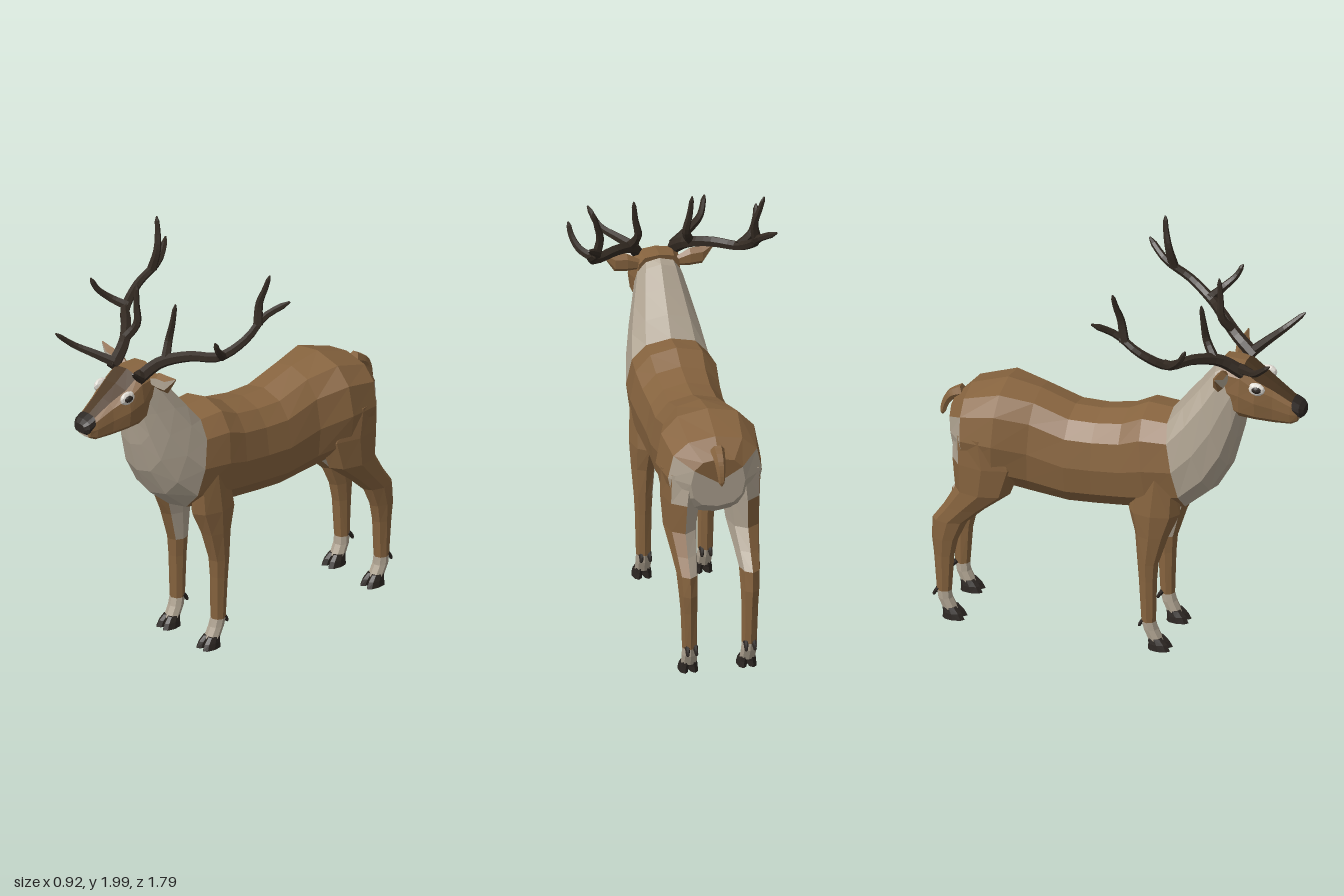
import * as THREE from 'three';

const mat = (name, color) => {
  const m = new THREE.MeshStandardMaterial({ color, flatShading: true });
  m.name = name;
  return m;
};
const brown = mat('brown coat', 0x87643f);
const cream = mat('pale fur', 0xb0a492);
const dark = mat('dark face', 0x4b3722);
const horn = mat('antler', 0x332a22);
const black = mat('hoof and nose', 0x2c2622);
const white = mat('eye ring', 0xdedad2);
const V = (x, y, z) => new THREE.Vector3(x, y, z);

// Closed skin over a list of rings; pick(i, k) gives the material of side k in band i.
function loft(name, rings, pick) {
  const n = rings[0].length, last = rings.length - 1, buckets = new Map();
  let volume = 0;
  const tri = (m, a, b, c) => {
    if (!buckets.has(m)) buckets.set(m, []);
    buckets.get(m).push([a, b, c]);
    volume += a.dot(b.clone().cross(c));
  };
  for (let k = 0; k < n; k++) {
    const j = (k + 1) % n;
    for (let i = 0; i < last; i++) {
      const m = pick(i, k);
      tri(m, rings[i][k], rings[i][j], rings[i + 1][j]);
      tri(m, rings[i][k], rings[i + 1][j], rings[i + 1][k]);
    }
  }
  const middle = (r) => r.reduce((s, p) => s.add(p), V(0, 0, 0)).divideScalar(n);
  const c0 = middle(rings[0]), c1 = middle(rings[last]);
  for (let k = 0; k < n; k++) {
    const j = (k + 1) % n;
    tri(pick(0, k), c0, rings[0][j], rings[0][k]);
    tri(pick(last - 1, k), c1, rings[last][k], rings[last][j]);
  }
  const geo = new THREE.BufferGeometry(), pos = [], mats = [];
  for (const [m, tris] of buckets) {
    geo.addGroup(pos.length / 3, tris.length * 3, mats.length);
    mats.push(m);
    for (const [a, b, c] of tris) {
      for (const p of volume > 0 ? [a, b, c] : [a, c, b]) pos.push(p.x, p.y, p.z);
    }
  }
  geo.setAttribute('position', new THREE.Float32BufferAttribute(pos, 3));
  geo.computeVertexNormals();
  const mesh = new THREE.Mesh(geo, mats.length > 1 ? mats : mats[0]);
  mesh.name = name;
  return mesh;
}

// Slanted 12-sided ring between a top and a bottom point; a low power is boxier.
const spineRing = (power) => ([tz, ty, bz, by, w]) => Array.from({ length: 12 }, (_, k) => {
  const a = k * Math.PI / 6;
  const f = (v) => (Math.abs(v) < 1e-6 ? 0 : Math.sign(v) * Math.abs(v) ** power);
  const c = f(Math.cos(a)) / 2;
  return V(w * f(Math.sin(a)), (ty + by) / 2 + (ty - by) * c, (tz + bz) / 2 + (tz - bz) * c);
});

// Level 8-sided ring of a leg on side s.
const legRing = (s) => ([y, z, x, rz, rx]) => Array.from({ length: 8 }, (_, k) => {
  const a = k * Math.PI / 4;
  return V(s * (x + rx * Math.cos(a)), y, z + rz * Math.sin(a));
});

// Tapering six-sided branch through points, pointed at the end.
function branch(name, pts, r0, r1, material, s = 1) {
  const curve = new THREE.CatmullRomCurve3(pts.map(([x, y, z]) => V(s * x, y, z)));
  const n = pts.length * 3, frames = curve.computeFrenetFrames(n, false);
  const rings = [];
  for (let i = 0; i <= n; i++) {
    const r = i === n ? r1 * 0.35 : r0 + (r1 - r0) * (i / n);
    rings.push(Array.from({ length: 6 }, (_, k) => curve.getPointAt(i / n)
      .addScaledVector(frames.normals[i], r * Math.cos(k * Math.PI / 3))
      .addScaledVector(frames.binormals[i], r * Math.sin(k * Math.PI / 3))));
  }
  return loft(name, rings, () => material);
}

function ball(name, material, pos, scale) {
  const m = new THREE.Mesh(new THREE.IcosahedronGeometry(1, 1), material);
  m.name = name;
  m.position.set(...pos);
  m.scale.set(...scale);
  return m;
}

function leg(name, s, rows, pick) {
  const g = new THREE.Group();
  g.name = name;
  g.add(loft(name + 'Limb', rows.map(legRing(s)), pick));
  const [y, z, x] = rows[rows.length - 1];
  // Split hoof and dewclaws
  for (const t of [-1, 1]) {
    g.add(loft('hoofToe', [
      [y + 0.012, z, x + t * 0.016, 0.036, 0.02],
      [0.03, z + 0.015, x + t * 0.021, 0.046, 0.023],
      [0, z + 0.022, x + t * 0.024, 0.054, 0.024],
    ].map(legRing(s)), () => black));
    g.add(branch('dewclaw', [[x + t * 0.018, 0.15, z - 0.05], [x + t * 0.02, 0.13, z - 0.068],
      [x + t * 0.022, 0.11, z - 0.078]], 0.014, 0.007, black, s));
  }
  return g;
}

export function createModel() {
  const model = new THREE.Group();
  model.name = 'stag';

  // Torso and neck: top z, top y, bottom z, bottom y, half width
  const body = [
    [-0.82, 1.10, -0.79, 0.84, 0.13], [-0.74, 1.18, -0.72, 0.78, 0.225],
    [-0.56, 1.24, -0.58, 0.73, 0.25], [-0.40, 1.21, -0.42, 0.69, 0.20],
    [-0.23, 1.15, -0.23, 0.67, 0.20], [-0.10, 1.15, -0.10, 0.675, 0.195],
    [0.03, 1.17, 0.06, 0.69, 0.205], [0.13, 1.22, 0.18, 0.70, 0.217],
    [0.25, 1.21, 0.35, 0.73, 0.205], [0.32, 1.30, 0.47, 0.83, 0.185],
    [0.40, 1.40, 0.55, 0.97, 0.155], [0.47, 1.49, 0.59, 1.12, 0.125],
    [0.53, 1.52, 0.61, 1.25, 0.105],
  ];
  model.add(loft('bodyAndNeck', body.map(spineRing(0.8)), (i, k) => {
    if (i >= 8 || (i === 0 && k > 1 && k < 10)) return cream;
    return k === 5 || k === 6 ? cream : brown;
  }));

  // Head with dark forehead and pale chin
  const head = [
    [0.50, 1.525, 0.56, 1.26, 0.105], [0.61, 1.52, 0.60, 1.25, 0.12],
    [0.68, 1.465, 0.68, 1.245, 0.115], [0.76, 1.415, 0.76, 1.235, 0.085],
    [0.84, 1.36, 0.84, 1.235, 0.066], [0.88, 1.335, 0.87, 1.25, 0.052],
  ];
  model.add(loft('head', head.map(spineRing(0.6)), (i, k) => {
    if (i > 0 && (k === 0 || k === 11)) return dark;
    return i > 1 && (k === 5 || k === 6) ? cream : brown;
  }));
  model.add(loft('nose', [
    [0.845, 1.362, 0.855, 1.285, 0.06], [0.88, 1.345, 0.885, 1.27, 0.056], [0.9, 1.325, 0.9, 1.28, 0.036],
  ].map(spineRing(0.7)), () => black));

  // Tail
  const tail = branch('tail', [[0, 1.13, -0.78], [0, 1.1, -0.84], [0, 1.05, -0.87], [0, 0.99, -0.885]],
    0.035, 0.012, brown);
  model.add(tail);

  // Legs: y, z, x, half depth, half width
  const front = [
    [0.92, 0.22, 0.13, 0.11, 0.075], [0.72, 0.20, 0.14, 0.125, 0.072], [0.60, 0.19, 0.147, 0.082, 0.058],
    [0.45, 0.172, 0.15, 0.052, 0.045], [0.36, 0.172, 0.15, 0.045, 0.04], [0.14, 0.175, 0.148, 0.036, 0.036],
    [0.10, 0.185, 0.146, 0.036, 0.038], [0.045, 0.21, 0.145, 0.036, 0.038],
  ];
  const hind = [
    [1.0, -0.64, 0.13, 0.15, 0.11], [0.85, -0.62, 0.145, 0.17, 0.095], [0.70, -0.64, 0.15, 0.135, 0.08],
    [0.60, -0.73, 0.15, 0.10, 0.062], [0.52, -0.80, 0.15, 0.085, 0.05], [0.42, -0.825, 0.148, 0.065, 0.045],
    [0.33, -0.83, 0.146, 0.05, 0.04], [0.14, -0.83, 0.143, 0.037, 0.036],
    [0.10, -0.825, 0.142, 0.036, 0.038], [0.045, -0.80, 0.14, 0.036, 0.038],
  ];

  // Antler branches: points, start radius, end radius
  const antler = [
    ['mainBeam', [[0.09, 1.5, 0.62], [0.13, 1.57, 0.52], [0.23, 1.61, 0.42], [0.34, 1.62, 0.33],
      [0.39, 1.69, 0.21], [0.385, 1.77, 0.09], [0.45, 1.84, -0.01]], 0.032, 0.015],
    ['crownTine', [[0.385, 1.74, 0.13], [0.37, 1.84, 0.11], [0.39, 1.92, 0.09], [0.41, 1.99, 0.08]], 0.024, 0.01],
    ['outerTine', [[0.34, 1.625, 0.32], [0.41, 1.66, 0.37], [0.44, 1.71, 0.42], [0.45, 1.77, 0.45]], 0.025, 0.011],
    ['innerTine', [[0.15, 1.58, 0.5], [0.115, 1.66, 0.45], [0.13, 1.75, 0.44], [0.14, 1.85, 0.43]], 0.024, 0.01],
    ['browTine', [[0.09, 1.52, 0.61], [0.17, 1.555, 0.67], [0.24, 1.59, 0.73], [0.28, 1.66, 0.81]], 0.027, 0.011],
  ];

  for (const s of [1, -1]) {
    const side = s > 0 ? 'left' : 'right';
    model.add(leg(side + 'FrontLeg', s, front,
      (i, k) => (i >= 5 || (i < 3 && (k === 3 || k === 4)) ? cream : brown)));
    model.add(leg(side + 'HindLeg', s, hind,
      (i, k) => (i >= 7 || (i < 4 && k >= 3 && k <= 5) || (i === 0 && k === 6) ? cream : brown)));

    const g = new THREE.Group();
    g.name = side + 'Antler';
    for (const [name, pts, r0, r1] of antler) g.add(branch(name, pts, r0, r1, horn, s));
    model.add(g);

    // Leaf-shaped ear, pale on the inner front
    const ear = [[0.09, 1.47, 0.025], [0.15, 1.485, 0.045], [0.21, 1.49, 0.045], [0.265, 1.535, 0.006]];
    model.add(loft(side + 'Ear', ear.map(([x, y, h]) => Array.from({ length: 6 }, (_, k) => {
      const a = k * Math.PI / 3;
      return V(s * x, y + h * Math.cos(a), 0.535 + h * 0.6 * Math.sin(a));
    })), (i, k) => (k === 1 ? cream : brown)));

    // Eye with pale ring
    model.add(ball(side + 'EyeRing', white, [s * 0.096, 1.425, 0.685], [0.02, 0.034, 0.045]));
    model.add(ball(side + 'Eye', black, [s * 0.104, 1.427, 0.69], [0.018, 0.02, 0.027]));
  }
  return model;
}
